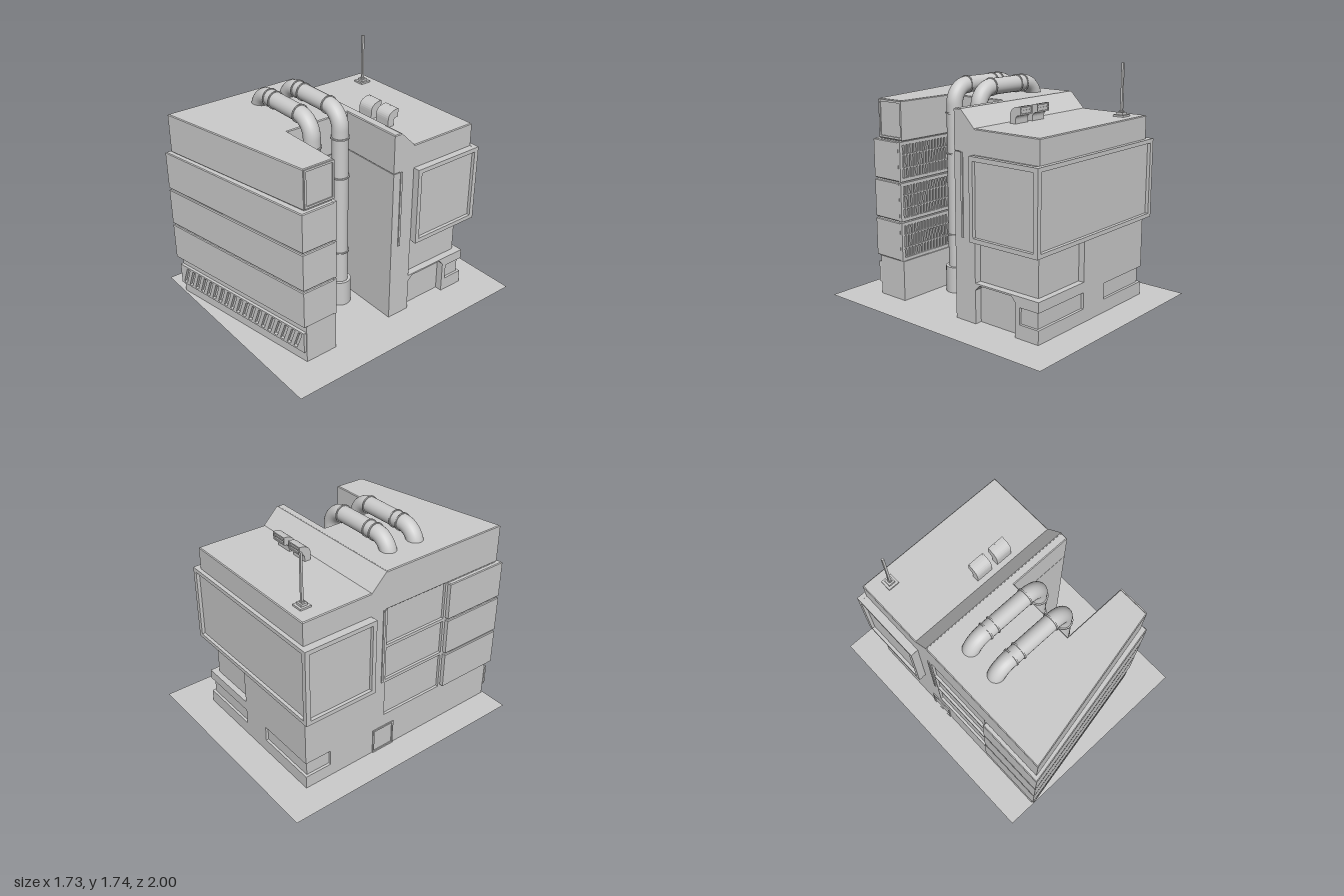
import * as THREE from 'three';

const grey = new THREE.MeshStandardMaterial({ color: 0xcccccc, side: THREE.DoubleSide });

export function createModel() {
  const root = new THREE.Group();
  const add = (name, geo, parent = root) => {
    const m = new THREE.Mesh(geo, grey);
    m.name = name;
    parent.add(m);
    return m;
  };
  const shapeOf = (pts) => new THREE.Shape(pts.map((p) => new THREE.Vector2(p[0], p[1])));
  const rect = (x0, y0, x1, y1) => [[x0, y0], [x1, y0], [x1, y1], [x0, y1]];

  // box given by its limits
  const block = (name, x0, x1, y0, y1, z0, z1, parent) => add(name,
    new THREE.BoxGeometry(x1 - x0, y1 - y0, z1 - z0)
      .translate((x0 + x1) / 2, (y0 + y1) / 2, (z0 + z1) / 2), parent);

  // footprint of [x, z] points raised from y0 to y1
  const prism = (name, pts, y0, y1, b = 0) => {
    const g = new THREE.ExtrudeGeometry(shapeOf(pts.map(([x, z]) => [x, -z])), {
      depth: y1 - y0 - 2 * b, bevelEnabled: b > 0, bevelSize: b, bevelThickness: b, bevelOffset: -b, bevelSegments: 1,
    });
    return add(name, g.rotateX(-Math.PI / 2).translate(0, y0 + b, 0));
  };

  // [z, y] profile extruded along x, with optional hole
  const sideways = (name, pts, x0, x1, hole) => {
    const flip = (a) => a.map(([z, y]) => [-z, y]);
    const s = shapeOf(flip(pts));
    if (hole) s.holes.push(shapeOf(flip(hole)));
    const g = new THREE.ExtrudeGeometry(s, { depth: x1 - x0, bevelEnabled: false, curveSegments: 8 });
    return add(name, g.rotateY(Math.PI / 2).translate(x0, 0, 0));
  };

  // rim of width w around a rectangle facing z
  const frameZ = (name, x0, x1, y0, y1, z0, z1, w) => {
    const s = shapeOf(rect(x0, y0, x1, y1));
    s.holes.push(shapeOf(rect(x0 + w, y0 + w, x1 - w, y1 - w)));
    return add(name, new THREE.ExtrudeGeometry(s, { depth: z1 - z0, bevelEnabled: false }).translate(0, 0, z0));
  };
  // the same, facing x
  const frameX = (name, z0, z1, y0, y1, x0, x1, w) =>
    sideways(name, rect(z0, y0, z1, y1), x0, x1, rect(z0 + w, y0 + w, z1 - w, y1 - w));

  // ground sheet
  add('groundSheet', new THREE.PlaneGeometry(1.73, 1.98).rotateX(-Math.PI / 2).translate(-0.005, 0, -0.01));

  // front half: base, core with recessed left wall, roof block
  const alley = [[0.08, 0.48], [0.08, -0.03], [0.575, -0.03], [0.575, -0.09]];
  prism('frontBase', [[-0.65, 0.965], [0.595, 0.73], [0.595, 0.48], ...alley, [-0.65, -0.09]], 0, 0.3);
  prism('frontCore', [[-0.65, 0.95], [0.575, 0.715], [0.575, 0.5], [0.08, 0.5], ...alley.slice(1),
    [-0.65, -0.09], [-0.65, -0.07], [-0.63, -0.07], [-0.63, 0.46], [-0.65, 0.46]], 0.3, 1.19);
  prism('frontRoofBlock', [[-0.65, 0.965], [0.575, 0.72], [0.575, 0.48], ...alley, [-0.65, -0.09]], 1.19, 1.48, 0.006);
  frameX('roofBlockEndRim', 0.48, 0.715, 1.2, 1.475, 0.57, 0.583, 0.015);
  for (const y of [0.6, 0.89]) block('leftWallMullion', -0.65, -0.62, y - 0.012, y + 0.012, -0.07, 0.46);

  // stacked facade bands with louvres towards the alley
  for (const [y0, y1] of [[0.304, 0.593], [0.603, 0.888], [0.898, 1.188]]) {
    prism('facadeBand', [[-0.68, 0.998], [0.605, 0.755], [0.605, 0.5], [0.08, 0.5], [0.08, 0.48], [-0.68, 0.48]],
      y0, y1, 0.006);
    frameZ('louvreFrame', 0.08, 0.604, y0, y1, 0.48, 0.505, 0.025);
    for (let i = 1; i < 15; i++) {
      const x = 0.105 + i * 0.0317;
      block('louvreBar', x - 0.007, x + 0.007, y0 + 0.02, y1 - 0.02, 0.484, 0.496);
    }
    for (const t of [1 / 3, 2 / 3]) {
      const y = y0 + (y1 - y0) * t;
      block('louvreRail', 0.1, 0.59, y - 0.005, y + 0.005, 0.481, 0.497);
    }
  }

  // slanted grille along the foot of the facade
  const grille = shapeOf(rect(-0.005, 0.088, 1.262, 0.25));
  for (let i = 0; i < 19; i++) {
    const x = 0.02 + i * 0.0635;
    grille.holes.push(shapeOf([[x, 0.102], [x + 0.032, 0.102], [x + 0.08, 0.236], [x + 0.048, 0.236]]));
  }
  const plate = add('frontGrille', new THREE.ExtrudeGeometry(grille, { depth: 0.022, bevelEnabled: false }));
  plate.position.set(-0.65, 0, 0.965);
  plate.rotation.y = Math.atan2(0.235, 1.245);

  // sloped joint between the two roof levels
  sideways('slopedRoofJoint', [[-0.085, 0], [-0.085, 1.48], [-0.09, 1.48], [-0.21, 1.36], [-0.21, 0]], -0.65, 0.575);

  // rear half in layers, with corner recesses
  const plain = [[-0.65, -0.2], [0.52, -0.2], [0.52, -0.575], [0.575, -0.575], [0.575, -0.76], [-0.65, -0.76]];
  prism('rearFoot', plain, 0, 0.1);
  prism('rearRecessedStrip', [[-0.65, -0.2], [0.52, -0.2], [0.52, -0.575], [0.575, -0.575], [0.575, -0.6],
    [0.555, -0.6], [0.555, -0.74], [0.08, -0.74], [0.08, -0.76], [-0.166, -0.76], [-0.166, -0.74],
    [-0.63, -0.74], [-0.63, -0.55], [-0.65, -0.55]], 0.1, 0.22);
  prism('rearLedge', plain, 0.22, 0.295);
  prism('rearWaist', [[-0.65, -0.2], [0.52, -0.2], [0.52, -0.715], [0.08, -0.715], [0.08, -0.76], [-0.65, -0.76]],
    0.295, 0.61);
  prism('rearUpper', [[-0.65, -0.2], [0.575, -0.2], [0.575, -0.76], [-0.65, -0.76]], 0.61, 1.36, 0.006);

  // chamfered garage surround
  sideways('garageSurround', [[-0.2, 0], [-0.2, 0.295], [-0.58, 0.295], [-0.58, 0], [-0.565, 0], [-0.565, 0.245],
    [-0.53, 0.283], [-0.25, 0.283], [-0.212, 0.245], [-0.212, 0]], 0.515, 0.575);

  // large wrap-around window box
  block('windowBoxCore', -0.685, 0.605, 0.602, 1.185, -0.765, -0.212);
  frameZ('rearWindowFrame', -0.71, 0.63, 0.6, 1.187, -0.79, -0.755, 0.03);
  frameX('rightWindowFrame', -0.79, -0.21, 0.6, 1.187, 0.595, 0.63, 0.032);
  frameX('leftWindowFrame', -0.79, -0.21, 0.6, 1.187, -0.71, -0.675, 0.032);

  // thin wall fins and side door
  block('rightFin', 0.57, 0.582, 0.6, 1.19, -0.107, -0.09);
  block('leftFin', -0.657, -0.645, 0.6, 1.19, -0.107, -0.09);
  frameX('sideDoorFrame', -0.17, 0.02, 0, 0.2, -0.658, -0.645, 0.012);

  // pair of pipes rising from the alley and bending over the roof
  for (const z of [0.11, 0.35]) {
    const pipe = new THREE.Group();
    pipe.name = 'pipe';
    pipe.position.z = z;
    root.add(pipe);
    const v = (x, y) => new THREE.Vector3(x, y, 0);
    const X = 0.175, Y = 1.56, L = -0.44, r = 0.13, k = r * 0.45;
    const path = new THREE.CurvePath();
    path.add(new THREE.LineCurve3(v(X, 0), v(X, Y - r)));
    path.add(new THREE.CubicBezierCurve3(v(X, Y - r), v(X, Y - k), v(X - k, Y), v(X - r, Y)));
    path.add(new THREE.LineCurve3(v(X - r, Y), v(L + r, Y)));
    path.add(new THREE.CubicBezierCurve3(v(L + r, Y), v(L + k, Y), v(L, Y - k), v(L, Y - r)));
    add('pipeTube', new THREE.TubeGeometry(path, 160, 0.06, 24), pipe);
    add('pipeFoot', new THREE.CylinderGeometry(0.082, 0.082, 0.2, 24).translate(X, 0.1, 0), pipe);
    for (const y of [0.45, 1.065, 1.365]) {
      add('pipeCollar', new THREE.CylinderGeometry(0.069, 0.069, 0.01, 24).translate(X, y, 0), pipe);
    }
    for (const x of [-0.3, -0.235, 0.048]) {
      add('pipeCollar', new THREE.CylinderGeometry(0.067, 0.067, 0.01, 24).rotateZ(Math.PI / 2).translate(x, Y, 0), pipe);
    }
  }

  // curved roof vents opening to the rear
  const arc = (a, b, c) => new THREE.QuadraticBezierCurve(new THREE.Vector2(...a), new THREE.Vector2(...b),
    new THREE.Vector2(...c)).getPoints(8).map((p) => [p.x, p.y]);
  const hood = [[-0.25, 1.35], ...arc([-0.25, 1.41], [-0.25, 1.475], [-0.335, 1.48]),
    ...arc([-0.335, 1.42], [-0.3, 1.42], [-0.3, 1.385]), [-0.3, 1.35]];
  for (const x of [-0.05, 0.13]) {
    sideways('roofVent', hood, x, x + 0.13);
    frameZ('ventRim', x, x + 0.13, 1.42, 1.48, -0.342, -0.333, 0.01);
    block('ventSlat', x + 0.01, x + 0.12, 1.447, 1.453, -0.34, -0.333);
  }

  // antenna on a stepped foot
  for (const [s, y0, y1] of [[0.085, 1.355, 1.373], [0.05, 1.373, 1.39], [0.026, 1.39, 1.4], [0.016, 1.4, 1.74]]) {
    block(s > 0.02 ? 'antennaFoot' : 'antennaMast', -0.495 - s / 2, -0.495 + s / 2, y0, y1, -0.65 - s / 2, -0.65 + s / 2);
  }
  return root;
}
